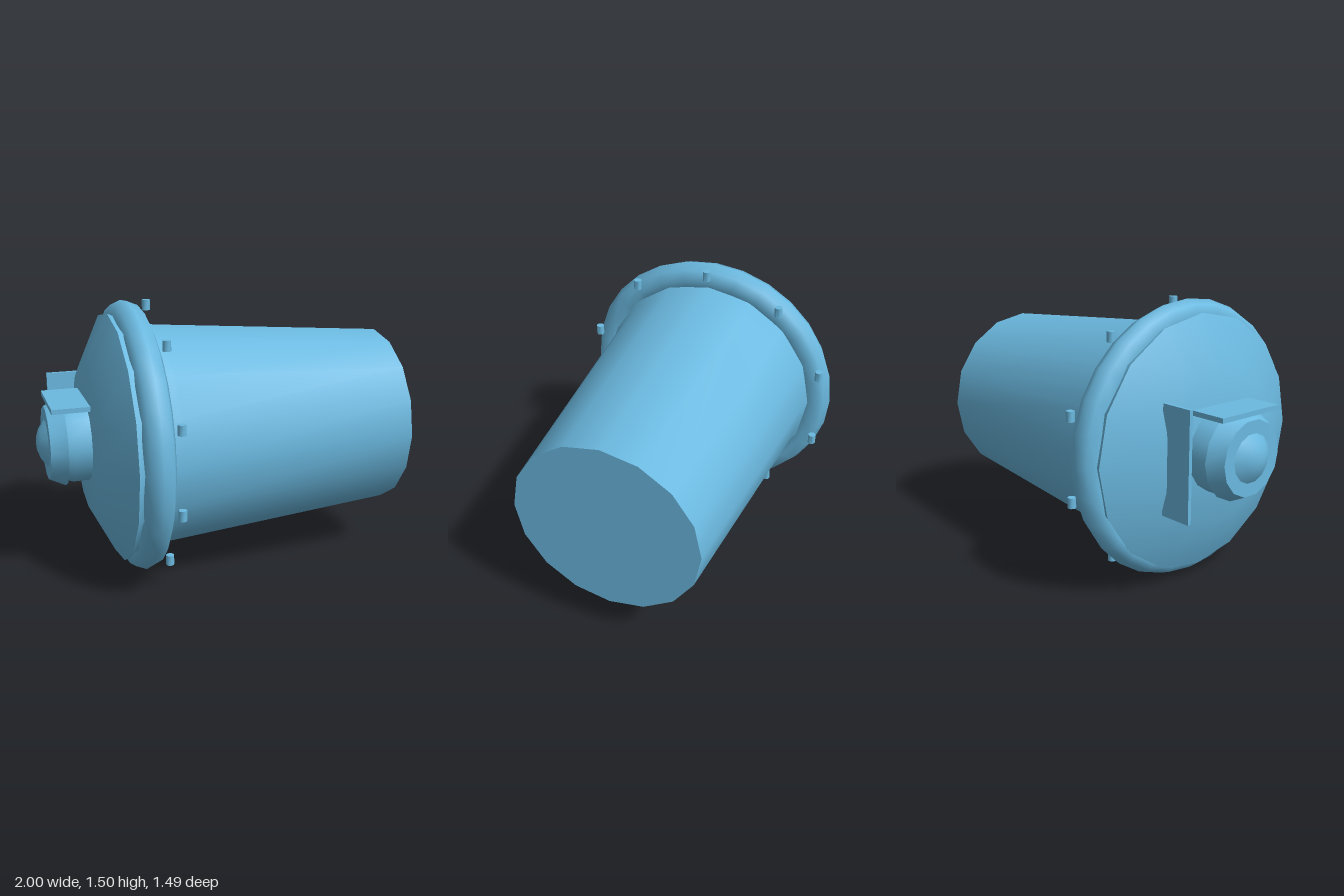
import * as THREE from 'three';
import { toCreasedNormals } from 'three/addons/utils/BufferGeometryUtils.js';

const AXIS_Y = 0.753;

export function createModel() {
  const model = new THREE.Group();
  const material = new THREE.MeshStandardMaterial({ color: 0x6bb9e0 });

  function add(name, geometry, x = 0, y = AXIS_Y, z = 0) {
    const mesh = new THREE.Mesh(geometry, material);
    mesh.name = name;
    mesh.position.set(x, y, z);
    model.add(mesh);
    return mesh;
  }

  // Revolves [x, radius] pairs, ordered by rising x, around the long axis
  function turned(profile, sides) {
    const points = profile.map(([x, r]) => new THREE.Vector2(r, x));
    const geometry = new THREE.LatheGeometry(points, sides).rotateZ(-Math.PI / 2);
    return toCreasedNormals(geometry, 0.62);
  }

  // Tapered drum, closed at the narrow end
  add('body', turned([[-0.5, 0], [-0.5, 0.632], [-0.4, 0.63], [-0.34, 0.613], [1, 0.508], [1, 0]], 16));

  // Thick clamping ring
  add('clampRing', new THREE.TorusGeometry(0.664, 0.083, 8, 28).rotateY(Math.PI / 2), -0.48);

  // Conical lid with a narrow rim
  add('lid', turned([[-0.732, 0], [-0.732, 0.398], [-0.588, 0.685], [-0.565, 0.675], [-0.5, 0.66], [-0.5, 0]], 16));

  // Upright studs spaced around the ring
  const stud = toCreasedNormals(new THREE.CylinderGeometry(0.022, 0.022, 0.055, 10), 0.7);
  for (let i = 0; i < 10; i++) {
    const a = (i / 10) * Math.PI * 2;
    add('stud', stud, -0.375, AXIS_Y + 0.722 * Math.cos(a), 0.722 * Math.sin(a));
  }

  // Hub barrel, flared collar and domed button
  add('hubBarrel', turned([[-0.87, 0.21], [-0.82, 0.225], [-0.72, 0.225]], 16));
  add('hubCollar', turned([[-0.948, 0], [-0.948, 0.2], [-0.86, 0.243], [-0.86, 0]], 14));
  add('hubButton', turned([[-1, 0], [-0.996, 0.04], [-0.98, 0.085], [-0.94, 0.14]], 14));

  // Flat plate above the hub and upright plate beside it
  add('topPlate', new THREE.BoxGeometry(0.235, 0.026, 0.41), -0.8175, 0.979, 0);
  add('sidePlate', new THREE.BoxGeometry(0.18, 0.575, 0.02), -0.79, 0.763, -0.364);

  return model;
}
